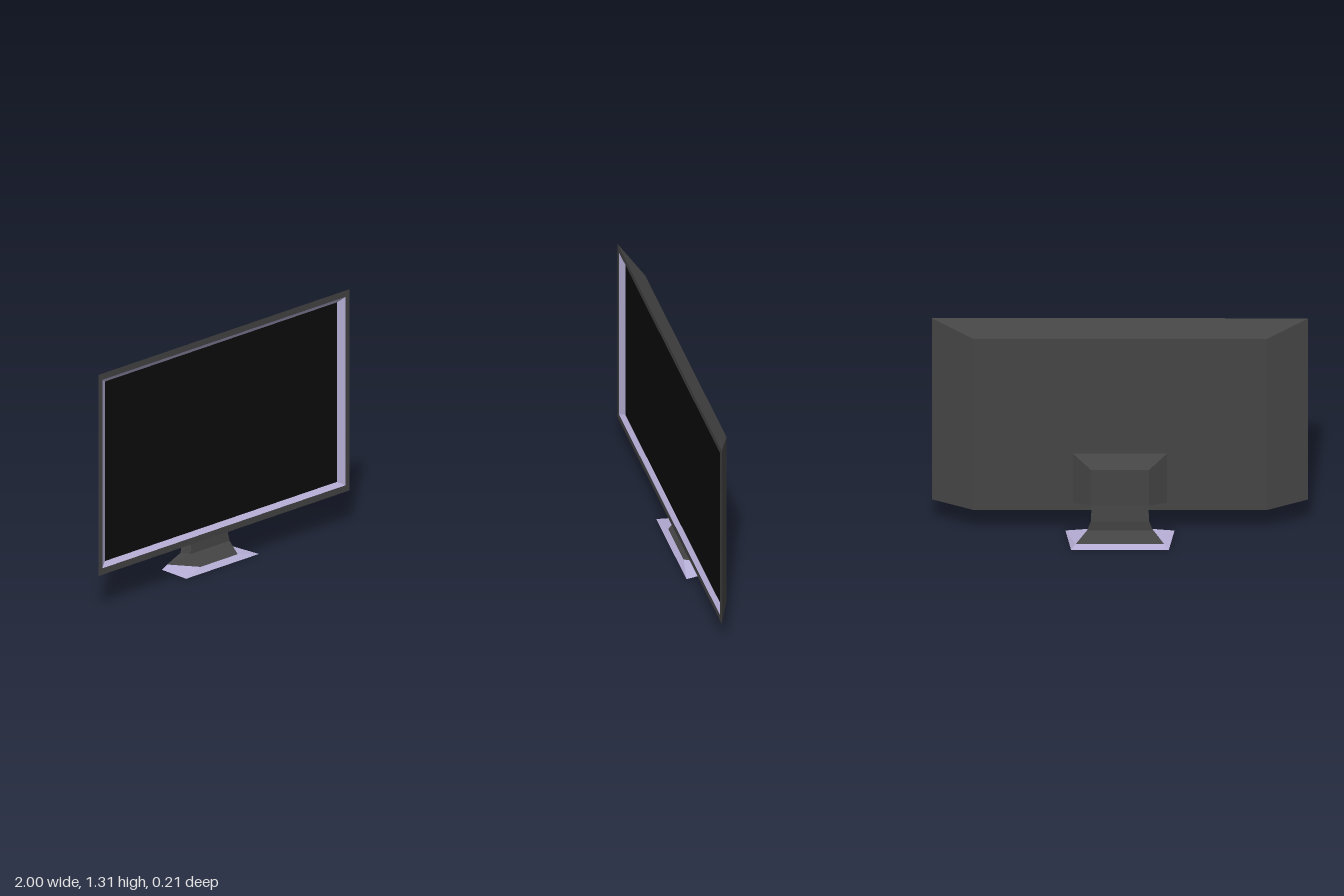
import * as THREE from 'three';

const material = (color) => new THREE.MeshStandardMaterial({ color, flatShading: true, roughness: 0.8 });
const plastic = material(0x444444);
const trim = material(0xb8b0d8);
const glass = material(0x0c0c0c);

// Rectangle in the xy plane, counter-clockwise seen from +z
const upright = (x, y0, y1, z) => [[x, y0, z], [x, y1, z], [-x, y1, z], [-x, y0, z]];

// Trapezoid in the xz plane, counter-clockwise seen from +y
const level = (y, xFront, zFront, xBack, zBack) =>
  [[xFront, y, zFront], [xBack, y, zBack], [-xBack, y, zBack], [-xFront, y, zFront]];

// Faceted skin through four-cornered rings, with optional end caps
function loft(name, mat, rings, capStart = false, capEnd = false) {
  const points = [];
  const quad = (a, b, c, d) => points.push(...a, ...b, ...c, ...a, ...c, ...d);
  for (let i = 0; i + 1 < rings.length; i++) {
    for (let j = 0; j < 4; j++) {
      const k = (j + 1) % 4;
      quad(rings[i][j], rings[i][k], rings[i + 1][k], rings[i + 1][j]);
    }
  }
  if (capStart) quad(...[...rings[0]].reverse());
  if (capEnd) quad(...rings[rings.length - 1]);
  const geometry = new THREE.BufferGeometry();
  geometry.setAttribute('position', new THREE.Float32BufferAttribute(points, 3));
  geometry.computeVertexNormals();
  const mesh = new THREE.Mesh(geometry, mat);
  mesh.name = name;
  return mesh;
}

export function createModel() {
  const group = new THREE.Group();
  group.name = 'flatScreenTelevision';

  // Screen casing: tapered back, flat bezel, sloped inner trim, recessed glass
  const back = upright(0.78, 0.175, 1.235, 0.015);
  const outer = upright(1, 0.187, 1.31, 0.105);
  const inner = upright(0.97, 0.223, 1.275, 0.105);
  const recess = upright(0.925, 0.248, 1.25, 0.083);
  group.add(
    loft('casing', plastic, [back, outer, inner], true),
    loft('innerTrim', trim, [inner, recess]),
    loft('screen', glass, [recess], false, true),
  );

  // Tapered housing on the back
  group.add(loft('rearHousing', plastic, [
    upright(0.155, 0.245, 0.465, -0.055),
    upright(0.25, 0.22, 0.525, 0.015),
  ], true));

  // Foot: sloped coloured rim with a dark underside
  const footBottom = level(0, 0.29, 0.095, 0.26, -0.105);
  const footTop = level(0.027, 0.148, 0.07, 0.235, -0.09);
  group.add(
    loft('footRim', trim, [footBottom, footTop]),
    loft('footUnderside', plastic, [footBottom], true),
  );

  // Neck: flares out towards the foot, mostly at the back
  group.add(loft('neck', plastic, [
    footTop,
    level(0.087, 0.155, 0.006, 0.175, -0.049),
    level(0.145, 0.145, 0, 0.155, -0.053),
    level(0.25, 0.15, 0, 0.15, -0.043),
  ], false, true));

  return group;
}
